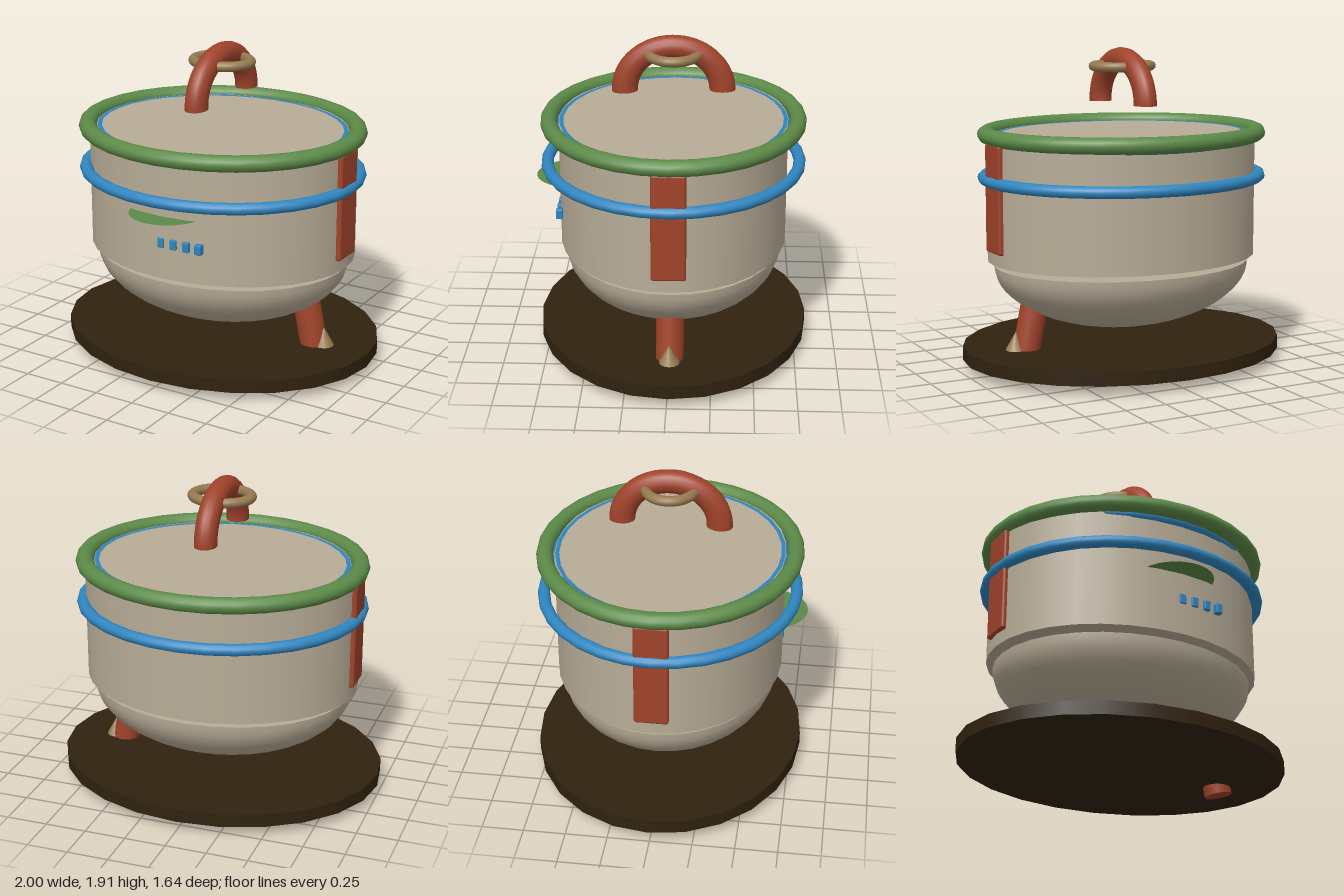
import * as THREE from 'three';
import { RoundedBoxGeometry } from 'three/addons/geometries/RoundedBoxGeometry.js';

const material = (name, color, extra = {}) => {
  const m = new THREE.MeshStandardMaterial({ color, ...extra });
  m.name = name;
  return m;
};

export function createModel() {
  const beige = material('beige', 0xb8ac97);
  const green = material('green', 0x5c8a48, { side: THREE.DoubleSide });
  const blue = material('blue', 0x2f86c0);
  const red = material('rust red', 0xa0432a, { side: THREE.DoubleSide });
  const tan = material('tan', 0x957a50);
  const brown = material('dark brown', 0x30220f);

  const group = new THREE.Group();
  group.name = 'pot';
  const Z = -0.007;

  const add = (name, geometry, mat, x = 0, y = 0, z = Z) => {
    const mesh = new THREE.Mesh(geometry, mat);
    mesh.name = name;
    mesh.position.set(x, y, z);
    group.add(mesh);
    return mesh;
  };

  // Horizontal oval ring: rx, rz reach to the tube centre
  const ring = (name, mat, y, rx, rz, tube, flat) => {
    const g = new THREE.TorusGeometry(rx, tube, 14, 32).rotateX(Math.PI / 2);
    g.scale(1, flat, rz / rx);
    return add(name, g, mat, 0, y);
  };

  // Oval base plate
  add('basePlate', new THREE.CylinderGeometry(1, 1, 0.08, 24).scale(1, 1, 0.818), brown, 0, 0.105);

  // Drum-shaped body with a flat lid
  add('body', new THREE.CylinderGeometry(0.84, 0.84, 0.75, 32).scale(1, 1, 0.813), beige, 0, 1.035);

  // Rounded bowl underneath, closed on top
  const bowl = [];
  for (let i = 0; i <= 16; i++) {
    const a = (i / 16) * Math.PI / 2;
    bowl.push(new THREE.Vector2(0.8 * Math.sin(a), -0.39 * Math.cos(a)));
  }
  add('bowl', new THREE.LatheGeometry(bowl, 32).scale(1, 1, 0.82), beige, 0, 0.625);
  const bowlTop = new THREE.CircleGeometry(0.8, 32).rotateX(-Math.PI / 2).scale(1, 1, 0.82);
  add('bowlTop', bowlTop, beige, 0, 0.625);

  // Rim and bands
  ring('rim', green, 1.408, 0.83, 0.742, 0.055, 0.87);
  ring('lidSeal', blue, 1.378, 0.76, 0.668, 0.04, 0.87);
  ring('middleBand', blue, 1.15, 0.845, 0.757, 0.04, 0.87);

  // Side panels
  for (const s of [1, -1]) {
    add(s > 0 ? 'leftPanel' : 'rightPanel',
      new RoundedBoxGeometry(0.05, 0.64, 0.2, 3, 0.015), red, s * 0.831, 1.055);
  }

  // Flat shelf on the front with a row of buttons below it
  add('frontShelf', new THREE.CircleGeometry(0.23, 32).rotateX(-Math.PI / 2), green, 0, 1.04, 0.59);
  for (let i = 0; i < 4; i++) {
    add('button', new RoundedBoxGeometry(0.042, 0.06, 0.04, 2, 0.006), blue, i * 0.083, 0.88, 0.663);
  }

  // Arched handle and the loop around it
  const arch = new THREE.TorusGeometry(0.288, 0.077, 16, 32, 3.19);
  arch.rotateY(Math.PI / 2).scale(0.86, 0.9, 1);
  add('handle', arch, red, 0, 1.587);
  ring('handleLoop', tan, 1.805, 0.173, 0.148, 0.034, 0.87);

  // Slanted leg and its small cone foot
  const leg = add('leg', new THREE.CylinderGeometry(0.082, 0.082, 0.9, 20), red, 0.58, 0.46);
  leg.rotation.z = 0.2;
  add('legCone', new THREE.ConeGeometry(0.078, 0.14, 12), tan, 0.713, 0.185);

  return group;
}
